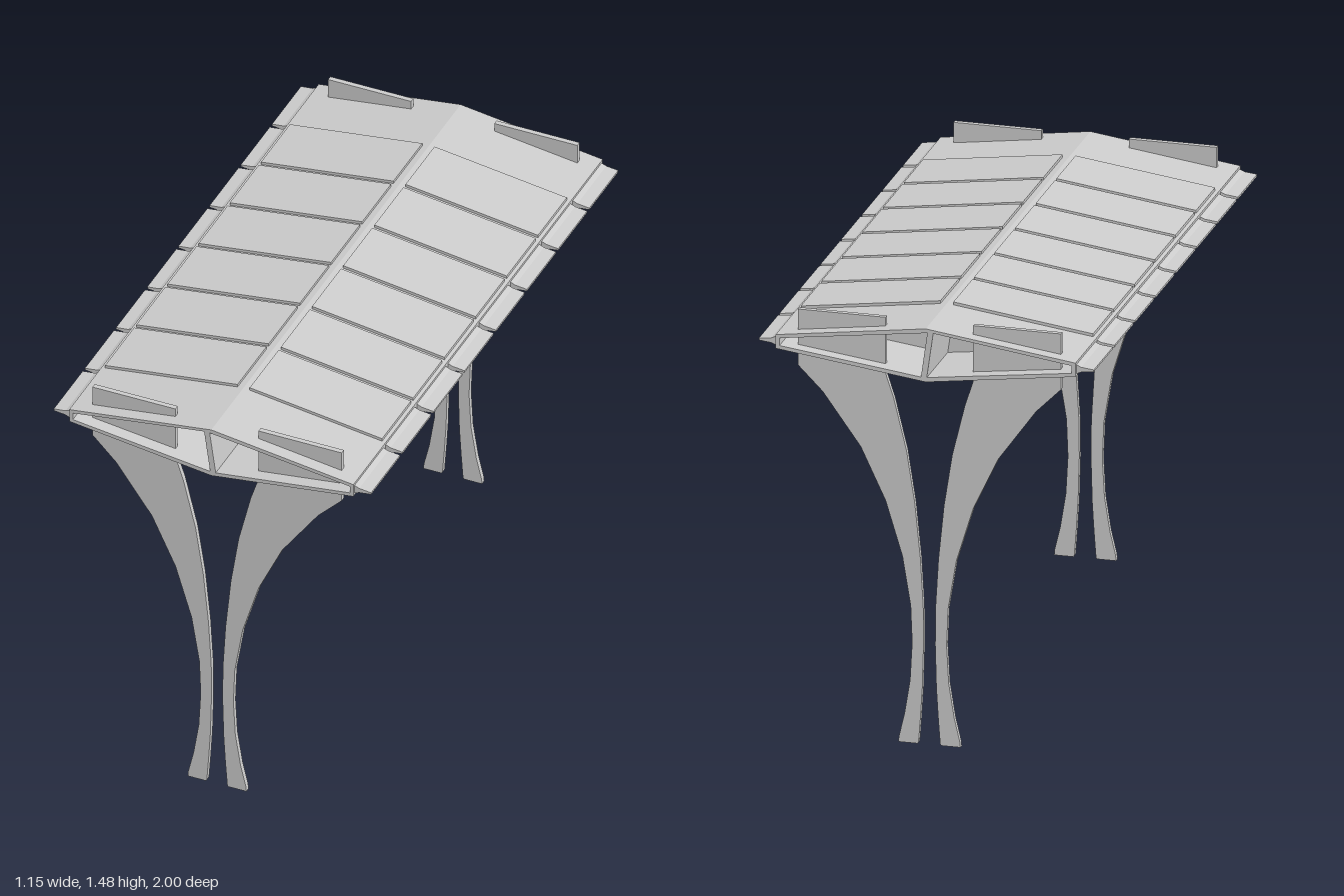
import * as THREE from 'three';

const material = new THREE.MeshStandardMaterial({ color: 0xcccccc, side: THREE.DoubleSide });
const toPath = (points, Type = THREE.Shape) => new Type(points.map(([x, y]) => new THREE.Vector2(x, y)));

// Solid with the given front outline, centred on z
function slab(name, points, z, depth, holes = []) {
  const shape = toPath(points);
  shape.holes = holes.map((h) => toPath(h, THREE.Path));
  const geometry = new THREE.ExtrudeGeometry(shape, { depth, bevelEnabled: false });
  geometry.translate(0, 0, z - depth / 2);
  const mesh = new THREE.Mesh(geometry, material);
  mesh.name = name;
  return mesh;
}

const mirror = (points, side) => points.map(([x, y]) => [x * side, y]);

export function createModel() {
  const model = new THREE.Group();
  model.name = 'canopy';

  // Hollow roof of two tapering cells with a slanted web between them
  const outer = [[0, 1.47], [0.513, 1.4], [0.513, 1.352], [0, 1.284], [-0.513, 1.352], [-0.513, 1.4]];
  const cells = [
    [[-0.006, 1.456], [0.5, 1.389], [0.5, 1.363], [0.016, 1.3]],
    [[-0.026, 1.456], [-0.5, 1.389], [-0.5, 1.363], [-0.004, 1.3]],
  ];
  model.add(slab('roofShell', outer, 0, 2, cells));

  // Bulkheads closing the cells behind the open ends
  for (const z of [-0.74, 0.74]) {
    for (const cell of cells) model.add(slab('bulkhead', cell, z, 0.01));
  }

  // Raised panels on the upper and lower slopes, edge fins along both sides
  const upperPanel = [[0.022, 1.462], [0.5, 1.397], [0.5, 1.412], [0.022, 1.477]];
  const lowerPanel = [[0.022, 1.292], [0.5, 1.355], [0.5, 1.342], [0.022, 1.278]];
  const fin = [[0.505, 1.395], [0.53, 1.384], [0.573, 1.379], [0.573, 1.372], [0.53, 1.367], [0.505, 1.356]];
  for (let i = 0; i < 8; i++) {
    const z = -0.875 + i * 0.25;
    for (const side of [-1, 1]) {
      model.add(slab('edgeFin', mirror(fin, side), z, 0.232));
      if (i > 0 && i < 7) {
        model.add(slab('upperPanel', mirror(upperPanel, side), z, 0.232));
        model.add(slab('lowerPanel', mirror(lowerPanel, side), z, 0.232));
      }
    }
  }

  // Thin curved legs whose square heads pass up through the roof
  const leg = [
    [0.15, 1.48], [0.15, 1.285], [0.122, 1.2], [0.078, 1.02], [0.05, 0.84], [0.031, 0.65],
    [0.021, 0.48], [0.02, 0.35], [0.024, 0.2], [0.03, 0.1], [0.037, 0.005], [0.04, 0],
    [0.106, 0], [0.104, 0.02], [0.085, 0.1], [0.066, 0.22], [0.059, 0.35], [0.064, 0.48],
    [0.092, 0.65], [0.15, 0.84], [0.235, 1.02], [0.365, 1.2], [0.45, 1.285], [0.45, 1.48],
  ];
  for (const z of [-0.945, 0.945]) {
    for (const side of [-1, 1]) model.add(slab('leg', mirror(leg, side), z, 0.018));
  }

  return model;
}
